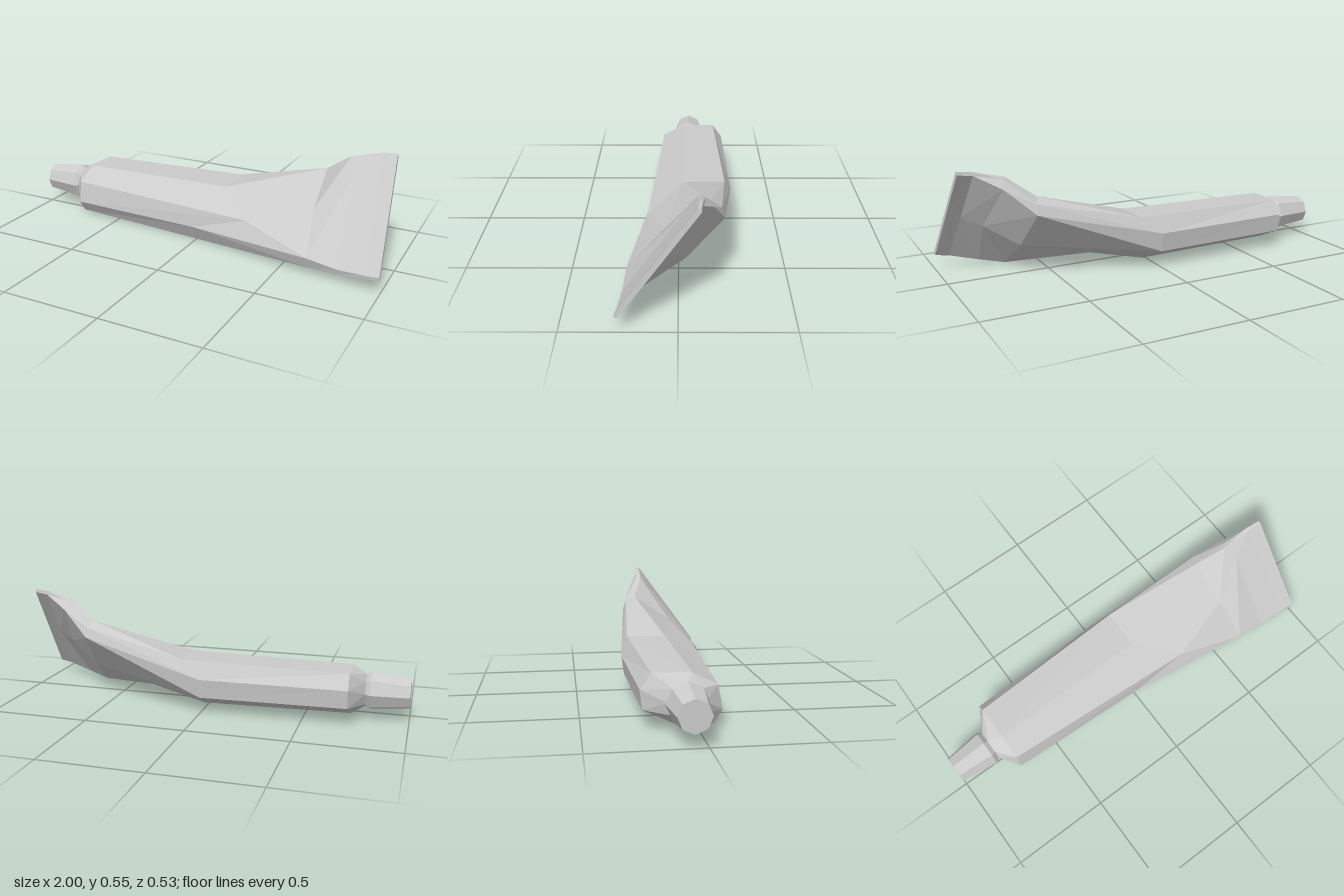
import * as THREE from 'three';

// Skin of flat facets through rings of eight [x, y, z] points, closed at both ends.
function loft(name, rings) {
  const pos = [];
  const tri = (...pts) => pts.forEach((p) => pos.push(...p));
  const n = rings[0].length;
  for (let r = 0; r < rings.length - 1; r++) {
    const a = rings[r], b = rings[r + 1];
    for (let i = 0; i < n; i++) {
      const j = (i + 1) % n;
      if (i === 6) { // underside facets fold the other way
        tri(a[i], b[i], a[j]);
        tri(a[j], b[i], b[j]);
      } else {
        tri(a[i], b[i], b[j]);
        tri(a[i], b[j], a[j]);
      }
    }
  }
  const first = rings[0], last = rings[rings.length - 1];
  for (let i = 1; i < n - 1; i++) {
    tri(first[0], first[i], first[i + 1]);
    tri(last[0], last[i + 1], last[i]);
  }
  const geo = new THREE.BufferGeometry();
  geo.setAttribute('position', new THREE.Float32BufferAttribute(pos, 3));
  geo.computeVertexNormals();
  const mesh = new THREE.Mesh(geo, new THREE.MeshStandardMaterial({ color: 0xcccccc, flatShading: true }));
  mesh.name = name;
  return mesh;
}

// Regular octagon facing along x.
function octagon(x, y, z, r) {
  return Array.from({ length: 8 }, (_, k) => {
    const a = (k * Math.PI) / 4;
    return [x, y + r * Math.sin(a), z + r * Math.cos(a)];
  });
}

// Flattened slanted ring between a low and a high corner, h thick to each side.
function flatRing(low, high, h) {
  const t = [0, 0.02, 0.5, 0.98, 1, 0.98, 0.5, 0.02];
  const side = [0, 1, 1, 1, 0, -1, -1, -1];
  return t.map((s, i) => [
    low[0] + (high[0] - low[0]) * s,
    low[1] + (high[1] - low[1]) * s + 0.6 * h * side[i],
    low[2] + (high[2] - low[2]) * s + 0.8 * h * side[i],
  ]);
}

export function createModel() {
  const group = new THREE.Group();
  group.name = 'squeezeTube';

  // Screw cap
  group.add(loft('cap', [
    octagon(-1, 0.132, -0.058, 0.073),
    octagon(-0.812, 0.135, -0.057, 0.095),
    octagon(-0.79, 0.135, -0.057, 0.08),
  ]));

  // Tube body: shoulder, full middle, then the folded-up, flattening tail
  const shoulder = [
    [-0.72, 0.08, 0.11], [-0.72, 0.19, 0.09], [-0.72, 0.25, -0.025], [-0.72, 0.25, -0.2],
    [-0.72, 0.18, -0.25], [-0.72, 0.09, -0.24], [-0.72, 0.02, -0.09], [-0.72, 0.02, 0.07],
  ];
  const middle = [
    [0, 0.085, 0.145], [0.29, 0.18, 0.15], [0.1, 0.262, -0.03], [0.1, 0.265, -0.23],
    [0, 0.18, -0.268], [0, 0.085, -0.255], [0.02, 0.006, -0.09], [0, 0.002, 0.1],
  ];
  const bend = [
    [0.64, 0.035, 0.215], [0.64, 0.09, 0.235], [0.61, 0.27, 0.065], [0.6, 0.41, -0.14],
    [0.62, 0.385, -0.19], [0.62, 0.335, -0.206], [0.65, 0.15, -0.035], [0.67, 0.008, 0.165],
  ];
  const tail = [
    [0.79, 0.045, 0.235], [0.79, 0.07, 0.242], [0.77, 0.445, -0.03], [0.73, 0.505, -0.09],
    [0.75, 0.5, -0.115], [0.76, 0.46, -0.15], [0.81, 0.25, 0.035], [0.79, 0.03, 0.205],
  ];
  group.add(loft('tubeBody', [
    octagon(-0.79, 0.135, -0.057, 0.08),
    shoulder, middle, bend, tail,
    flatRing([0.93, 0.06, 0.253], [0.88, 0.543, -0.1], 0.012),
  ]));

  // Crimped seam closing the tail
  group.add(loft('crimpedSeam', [
    flatRing([0.93, 0.06, 0.253], [0.88, 0.543, -0.1], 0.012),
    flatRing([0.995, 0.068, 0.262], [0.95, 0.55, -0.092], 0.011),
  ]));

  return group;
}
